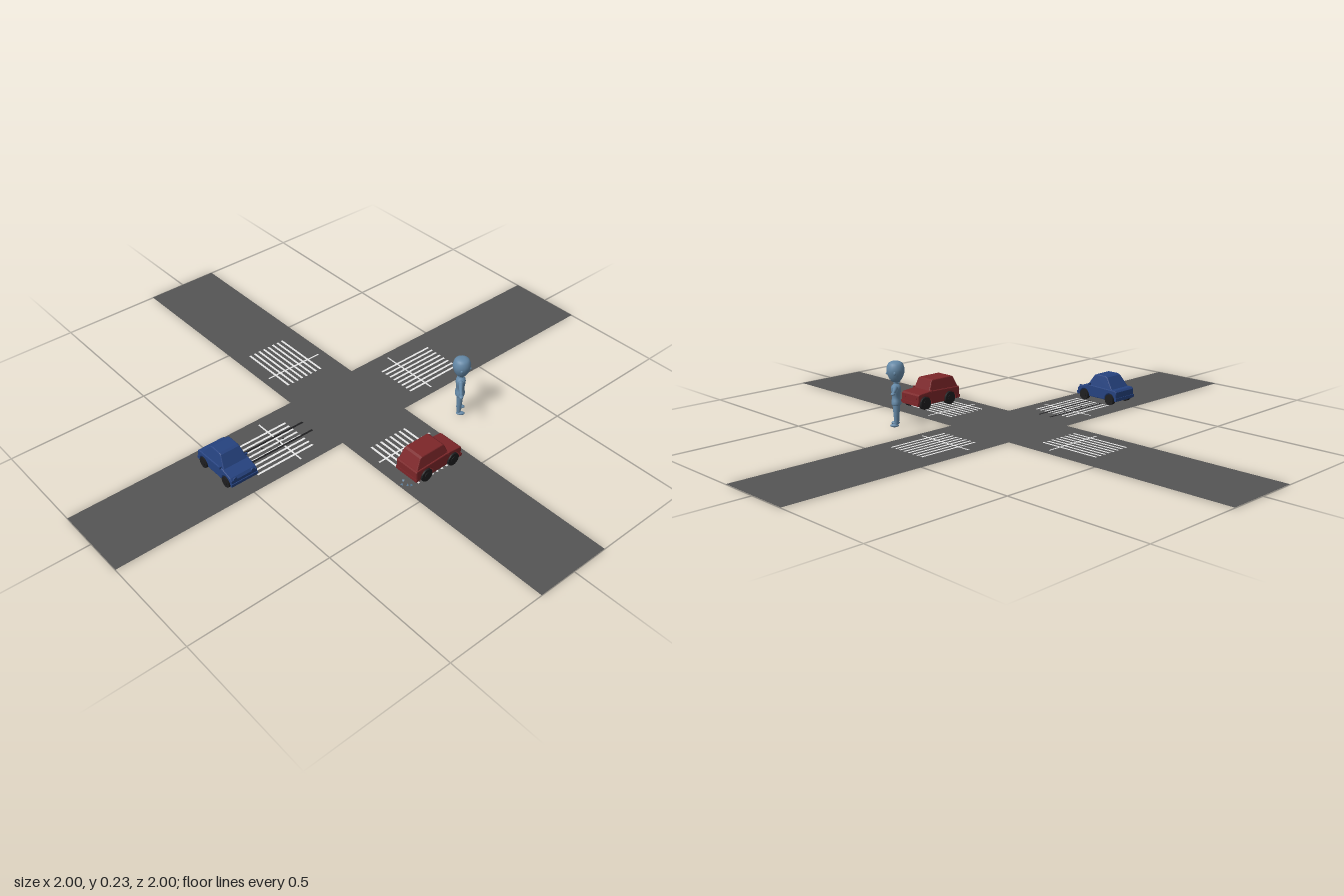
import * as THREE from 'three';

const mat = (name, color, side = THREE.FrontSide) => {
  const m = new THREE.MeshStandardMaterial({ color, side });
  m.name = name;
  return m;
};

export function createModel() {
  const asphalt = mat('asphalt', 0x555555, THREE.DoubleSide);
  const paint = mat('white road paint', 0xe6e6e6, THREE.DoubleSide);
  const red = mat('red car paint', 0x7c2629);
  const blue = mat('blue car paint', 0x25427f);
  const rubber = mat('black rubber', 0x1e1e20);
  const skin = mat('figure blue grey', 0x6488a6);

  const add = (parent, name, geo, material, x = 0, y = 0, z = 0) => {
    const mesh = new THREE.Mesh(geo, material);
    mesh.name = name;
    mesh.position.set(x, y, z);
    parent.add(mesh);
    return mesh;
  };
  const group = (parent, name) => {
    const g = new THREE.Group();
    g.name = name;
    parent.add(g);
    return g;
  };
  // flat rectangle lying on the road
  const flat = (parent, name, w, d, material, x, y, z) =>
    add(parent, name, new THREE.PlaneGeometry(w, d).rotateX(-Math.PI / 2), material, x, y, z);

  const model = new THREE.Group();
  model.name = 'crossroads';

  // cross-shaped road
  const a = -0.14, b = 0.136;
  const cross = new THREE.Shape([
    [a, -1], [b, -1], [b, -b], [1, -b], [1, -a], [b, -a],
    [b, 1], [a, 1], [a, -a], [-1, -a], [-1, -b], [a, -b],
  ].map(([x, y]) => new THREE.Vector2(x, y)));
  add(model, 'road', new THREE.ShapeGeometry(cross).rotateX(-Math.PI / 2), asphalt);

  // four crossings: eight thin stripes and one stop line each
  const crossing = (name, sign, alongX) => {
    const g = group(model, name);
    const mid = sign * 0.33 - 0.003, line = sign * 0.29 - 0.004;
    const y = 0.0015;
    for (let i = 0; i < 8; i++) {
      const s = i * 0.0206;
      if (alongX) flat(g, 'stripe', 0.226, 0.008, paint, mid, y, -0.065 + s);
      else flat(g, 'stripe', 0.008, 0.226, paint, -0.084 + s, y, mid);
    }
    if (alongX) flat(g, 'stopLine', 0.006, 0.225, paint, line, y, -0.002);
    else flat(g, 'stopLine', 0.225, 0.006, paint, -0.002, y, line);
  };
  crossing('eastCrossing', 1, true);
  crossing('westCrossing', -1, true);
  crossing('southCrossing', 1, false);
  crossing('northCrossing', -1, false);

  // skid marks and small shards
  const skids = group(model, 'skidMarks');
  for (const z of [-0.03, 0.022]) flat(skids, 'skidMark', 0.27, 0.008, rubber, -0.31, 0.0025, z);
  const debris = group(model, 'debris');
  const shard = (x, z, s, m) => {
    const t = add(debris, 'shard', new THREE.TetrahedronGeometry(s), m, x, s * 0.6, z);
    t.rotation.set(x * 40, z * 90, x * 25);
  };
  [[-0.36, -0.01], [-0.34, 0.006], [-0.325, -0.015], [-0.3, 0.003], [-0.275, -0.006]]
    .forEach(([x, z]) => shard(x, z, 0.004, rubber));
  [[-0.13, 0.41], [-0.12, 0.425], [-0.115, 0.4], [-0.11, 0.432]]
    .forEach(([x, z]) => shard(x, z, 0.006, skin));

  // side profile swept across the car with a small bevel
  const sweep = (shape, width, bevel) => {
    const geo = new THREE.ExtrudeGeometry(shape, {
      depth: width - 2 * bevel, bevelEnabled: true, bevelSize: bevel,
      bevelThickness: bevel, bevelOffset: -bevel, bevelSegments: 2, curveSegments: 10,
    });
    return geo.translate(0, 0, -width / 2 + bevel);
  };

  // car facing +x: lower body with wheel arches, tapered cabin, wheels, trim
  const car = (name, material, c) => {
    const g = group(model, name);
    const body = new THREE.Shape();
    const bottom = 0.016, arch = c.r + 0.003;
    body.moveTo(c.lower[0][0], bottom);
    const half = Math.sqrt(arch * arch - (c.r - bottom) ** 2);
    const ang = Math.asin((c.r - bottom) / arch);
    for (const x of c.axles) {
      body.lineTo(x - half, bottom);
      body.absarc(x, c.r, arch, Math.PI + ang, -ang, true);
    }
    body.lineTo(c.lower[c.lower.length - 1][0], bottom);
    for (const [x, y] of [...c.lower].reverse()) body.lineTo(x, y);
    add(g, 'body', sweep(body, c.width, 0.003), material);

    const cabinShape = new THREE.Shape(c.cabin.map(([x, y]) => new THREE.Vector2(x, y)));
    const cabin = sweep(cabinShape, c.width - 0.006, 0.003);
    const p = cabin.attributes.position;
    for (let i = 0; i < p.count; i++) {
      const t = Math.max(0, (p.getY(i) - c.belt) / (0.1 - c.belt));
      p.setZ(i, p.getZ(i) * (1 - c.taper * t));
    }
    cabin.computeVertexNormals();
    add(g, 'cabin', cabin, material);

    for (const side of [-1, 1]) {
      for (const x of c.axles) {
        const z = side * (c.width / 2 - 0.006);
        add(g, 'tyre', new THREE.CylinderGeometry(c.r, c.r, 0.016, 20).rotateX(Math.PI / 2), rubber, x, c.r, z);
        add(g, 'hub', new THREE.CylinderGeometry(c.r * 0.5, c.r * 0.5, 0.019, 12).rotateX(Math.PI / 2), rubber, x, c.r, z);
      }
      add(g, 'mirror', new THREE.BoxGeometry(0.006, 0.007, 0.009), material, c.mirror, c.belt + 0.006, side * c.width / 2);
      add(g, 'headlight', new THREE.CylinderGeometry(0.007, 0.007, 0.004, 12).rotateZ(Math.PI / 2),
        material, c.front, c.belt - 0.014, side * c.width * 0.34);
    }
    for (const x of [c.front, c.back])
      add(g, 'bumper', new THREE.BoxGeometry(0.008, 0.01, c.width + 0.002), material, x, 0.024, 0);
    return g;
  };

  // low saloon heading toward +z
  const saloon = car('blueCar', blue, {
    width: 0.1, r: 0.019, axles: [-0.06, 0.06], belt: 0.056, taper: 0.24,
    lower: [[-0.09, 0.02], [-0.091, 0.05], [-0.084, 0.056], [0.04, 0.06], [0.084, 0.048], [0.091, 0.04], [0.091, 0.02]],
    cabin: [[-0.072, 0.05], [0.052, 0.05], [0.022, 0.096], [0.014, 0.1], [-0.028, 0.1], [-0.038, 0.096]],
    front: 0.09, back: -0.089, mirror: 0.034,
  });
  saloon.position.set(-0.502, 0, -0.002);
  saloon.rotation.y = -Math.PI / 2;

  // boxy off-roader heading toward +x
  const wagon = car('redCar', red, {
    width: 0.092, r: 0.023, axles: [-0.054, 0.062], belt: 0.058, taper: 0.16,
    lower: [[-0.099, 0.02], [-0.1, 0.055], [-0.097, 0.06], [0.04, 0.064], [0.09, 0.059], [0.096, 0.054], [0.096, 0.02]],
    cabin: [[-0.098, 0.054], [0.044, 0.054], [0.026, 0.097], [0.02, 0.101], [-0.07, 0.101], [-0.078, 0.097]],
    front: 0.095, back: -0.097, mirror: 0.036,
  });
  wagon.position.set(-0.003, 0, 0.4);

  // big-headed figure with arms held out
  const person = group(model, 'person');
  const lathe = (pts) => new THREE.LatheGeometry(
    new THREE.SplineCurve(pts.map(([r, y]) => new THREE.Vector2(r, y))).getPoints(24), 20);
  const limb = (name, from, to, r0, r1) => {
    const A = new THREE.Vector3(...from), B = new THREE.Vector3(...to);
    const m = add(person, name, new THREE.CylinderGeometry(r1, r0, A.distanceTo(B), 12), skin);
    m.position.copy(A).lerp(B, 0.5);
    m.quaternion.setFromUnitVectors(new THREE.Vector3(0, 1, 0), B.sub(A).normalize());
  };
  const ball = (name, r, x, y, z, sx = 1, sy = 1, sz = 1) =>
    add(person, name, new THREE.SphereGeometry(r, 14, 10), skin, x, y, z).scale.set(sx, sy, sz);

  add(person, 'head', lathe([[0, 0.152], [0.012, 0.154], [0.022, 0.166], [0.029, 0.184],
    [0.03, 0.2], [0.024, 0.216], [0.012, 0.223], [0, 0.224]]), skin);
  limb('neck', [0, 0.138, 0], [0, 0.158, 0], 0.008, 0.008);
  add(person, 'torso', lathe([[0, 0.07], [0.02, 0.074], [0.022, 0.085], [0.018, 0.102],
    [0.022, 0.125], [0.02, 0.138], [0.008, 0.146], [0, 0.147]]), skin).scale.set(1.1, 1, 0.75);
  for (const s of [-1, 1]) {
    ball('shoulder', 0.009, s * 0.022, 0.136, 0);
    limb('upperArm', [s * 0.022, 0.136, 0], [s * 0.054, 0.134, 0], 0.008, 0.006);
    ball('elbow', 0.006, s * 0.054, 0.134, 0);
    limb('forearm', [s * 0.054, 0.134, 0], [s * 0.084, 0.133, 0.001], 0.006, 0.0045);
    ball('hand', 0.008, s * 0.091, 0.133, 0.001, 1.3, 0.6, 0.9);
    limb('thigh', [s * 0.011, 0.08, 0], [s * 0.015, 0.042, 0], 0.012, 0.009);
    ball('knee', 0.009, s * 0.015, 0.042, 0);
    limb('shin', [s * 0.015, 0.042, 0], [s * 0.017, 0.006, 0], 0.009, 0.006);
    ball('foot', 0.01, s * 0.018, 0.006, 0.006, 0.85, 0.6, 1.5);
    ball('ear', 0.006, s * 0.029, 0.187, 0, 0.5, 1, 0.8);
  }
  ball('nose', 0.004, 0, 0.182, 0.029);
  person.position.set(0.265, 0, 0.265);
  person.rotation.y = Math.PI / 4;

  return model;
}
